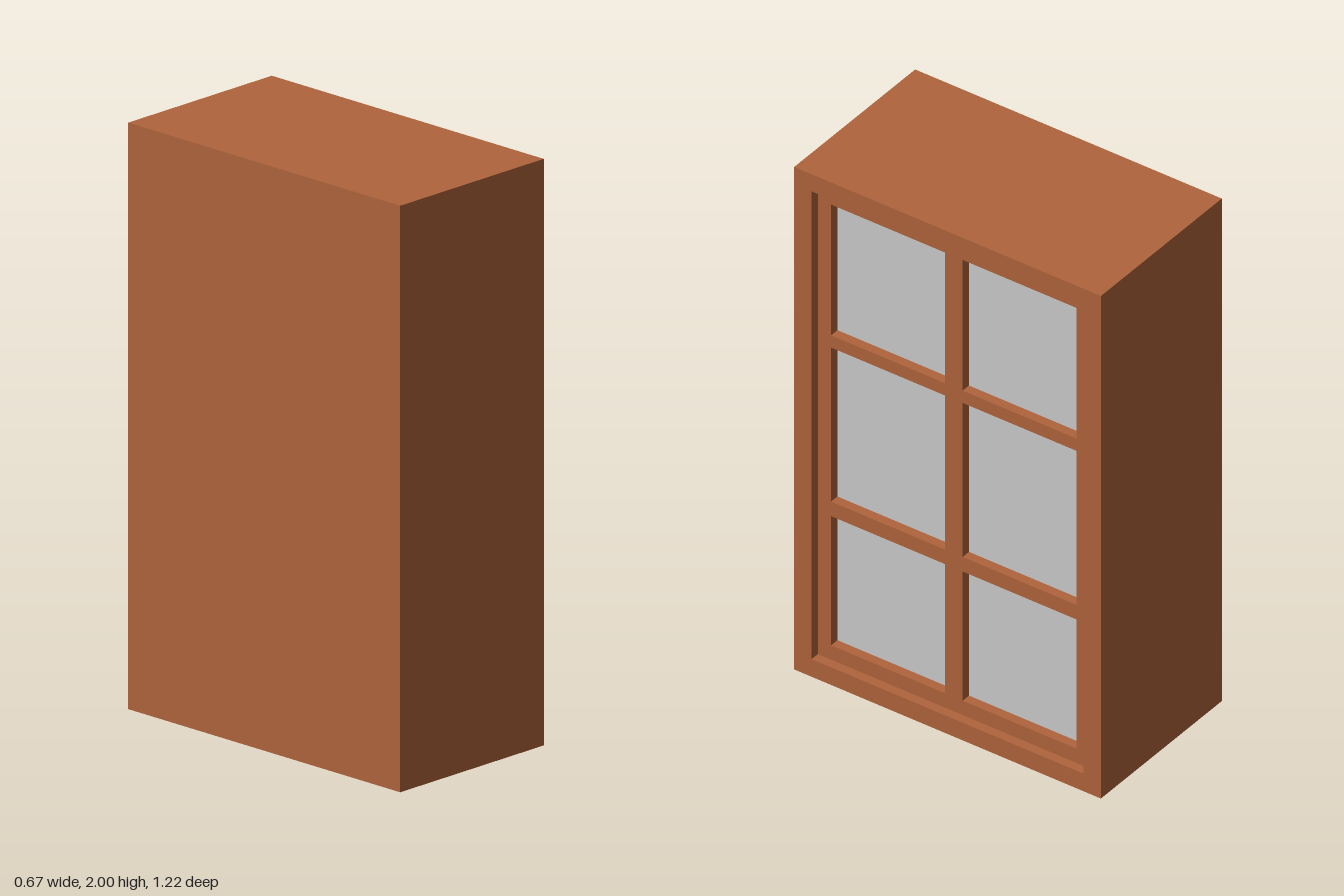
import * as THREE from 'three';

const X = 0.334, Z = 0.612, H = 2;             // half depth, half width, height
const OPEN = { z: 0.543, y0: 0.07, y1: 1.932 }; // opening that holds the door
const SASH_X = 0.299, GLASS_X = 0.264;          // door face and glass face

const wood = new THREE.MeshStandardMaterial({ color: 0xb0643c });
const glass = new THREE.MeshStandardMaterial({ color: 0xcccccc });

// Corners of an upright rectangle
function corners(a0, a1, y0, y1) {
  return [[a0, y0], [a1, y0], [a1, y1], [a0, y1]].map(([a, y]) => new THREE.Vector2(a, y));
}

// Rectangular board with rectangular holes, facing +x, from x0 to x1
function board(name, outer, holes, x0, x1) {
  const shape = new THREE.Shape(corners(...outer));
  for (const h of holes) shape.holes.push(new THREE.Path(corners(...h).reverse()));
  const geo = new THREE.ExtrudeGeometry(shape, { depth: x1 - x0, bevelEnabled: false });
  geo.rotateY(Math.PI / 2).translate(x0, 0, 0);
  const mesh = new THREE.Mesh(geo, wood);
  mesh.name = name;
  return mesh;
}

function box(name, x0, x1, z0, z1, y0, y1, material) {
  const mesh = new THREE.Mesh(new THREE.BoxGeometry(x1 - x0, y1 - y0, z1 - z0), material);
  mesh.position.set((x0 + x1) / 2, (y0 + y1) / 2, (z0 + z1) / 2);
  mesh.name = name;
  return mesh;
}

export function createModel() {
  const group = new THREE.Group();
  group.name = 'glazedCabinet';
  const opening = [-OPEN.z, OPEN.z, OPEN.y0, OPEN.y1];

  // Hollow case closed by a flush back panel
  group.add(board('case', [-Z, Z, 0, H], [opening], -X, X));
  group.add(box('backPanel', -X, -X + 0.04, ...opening, wood));

  // Door panes: two columns, three rows
  const panes = [];
  for (const [y0, y1] of [[0.127, 0.641], [0.699, 1.312], [1.361, 1.881]]) {
    panes.push([0.035, 0.49, y0, y1], [-0.49, -0.035, y0, y1]);
  }
  group.add(board('doorSash', opening, panes, 2 * GLASS_X - SASH_X, SASH_X));
  for (const p of panes) group.add(box('glassPane', GLASS_X - 0.02, GLASS_X, ...p, glass));

  return group;
}
